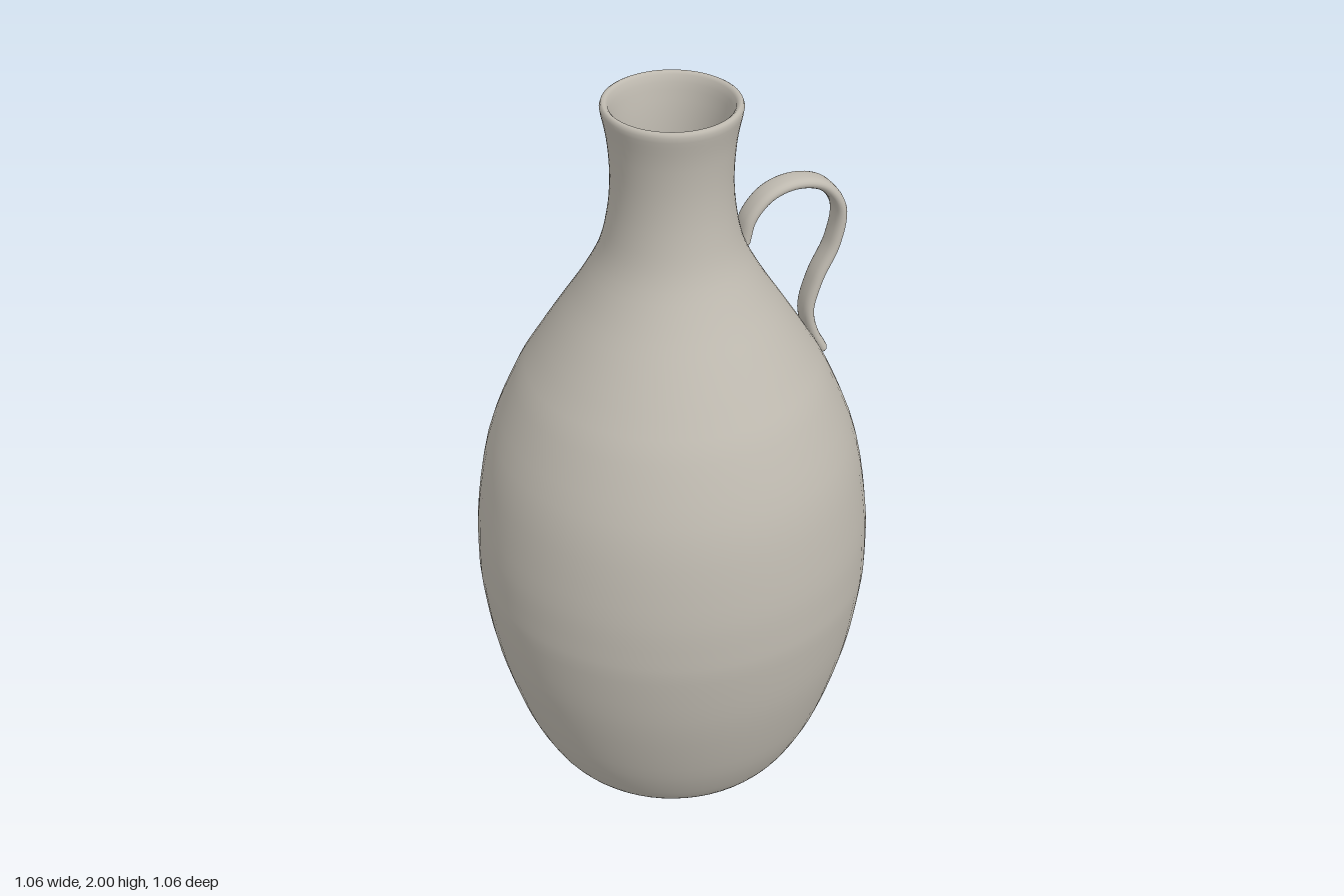
import * as THREE from 'three';
import { mergeVertices } from 'three/addons/utils/BufferGeometryUtils.js';

const curvePoints = (pairs, n) =>
  new THREE.SplineCurve(pairs.map(([x, y]) => new THREE.Vector2(x, y))).getPoints(n);

export function createModel() {
  const group = new THREE.Group();
  const clay = new THREE.MeshStandardMaterial({ color: 0xbfbab0 });
  clay.name = 'warm grey clay';

  // Vessel: recessed foot, swelling belly, flared neck, then down the inner wall
  const foot = [[0, 0.02], [0.27, 0.02], [0.285, 0.016], [0.295, 0.004], [0.305, 0]]
    .map(([x, y]) => new THREE.Vector2(x, y));
  const outside = curvePoints([
    [0.32, 0.002], [0.345, 0.02], [0.385, 0.08], [0.438, 0.2], [0.495, 0.4], [0.523, 0.58],
    [0.528, 0.68], [0.522, 0.82], [0.488, 1.02], [0.418, 1.2], [0.362, 1.3], [0.3, 1.4],
    [0.237, 1.5], [0.186, 1.6], [0.162, 1.7], [0.154, 1.8], [0.16, 1.9], [0.174, 1.975],
  ], 60);
  const lip = [[0.176, 1.988], [0.173, 1.997], [0.168, 2], [0.162, 1.999], [0.156, 1.993]]
    .map(([x, y]) => new THREE.Vector2(x, y));
  const inside = curvePoints([
    [0.15, 1.975], [0.137, 1.9], [0.131, 1.8], [0.138, 1.7], [0.162, 1.6], [0.212, 1.5],
    [0.335, 1.3], [0.46, 1.02], [0.502, 0.68], [0.468, 0.4], [0.41, 0.2], [0.34, 0.07],
    [0.29, 0.045],
  ], 36);
  const profile = [...foot, ...outside, ...lip, ...inside, new THREE.Vector2(0, 0.045)];
  const vessel = new THREE.Mesh(new THREE.LatheGeometry(profile, 64), clay);
  vessel.name = 'vessel';
  group.add(vessel);

  // Handle: an S-shaped strap, made from a tube widened to a rounded flat section
  const path = new THREE.CatmullRomCurve3([
    [0.195, 1.575], [0.212, 1.635], [0.262, 1.688], [0.335, 1.707], [0.415, 1.685],
    [0.467, 1.61], [0.455, 1.51], [0.408, 1.41], [0.385, 1.32], [0.4, 1.25], [0.428, 1.195],
  ].map(([x, y]) => new THREE.Vector3(x, y, 0)));
  const thickness = 0.016;
  const halfWidth = 0.034;
  const flatten = (geometry) => {
    geometry.deleteAttribute('uv');
    geometry.deleteAttribute('normal');
    const p = geometry.attributes.position;
    for (let i = 0; i < p.count; i++) {
      const s = p.getZ(i) / thickness;
      p.setZ(i, Math.sign(s) * Math.pow(Math.abs(s), 0.7) * halfWidth);
    }
    const welded = mergeVertices(geometry, 1e-5);
    welded.computeVertexNormals();
    return welded;
  };
  const handle = new THREE.Mesh(flatten(new THREE.TubeGeometry(path, 72, thickness, 20)), clay);
  handle.name = 'handle';
  group.add(handle);

  // Rounded ends where the strap meets the vessel
  [0, 1].forEach((t) => {
    const end = new THREE.Mesh(flatten(new THREE.SphereGeometry(thickness, 20, 12)), clay);
    end.position.copy(path.getPoint(t));
    end.name = t ? 'handleLowerEnd' : 'handleUpperEnd';
    group.add(end);
  });

  return group;
}
